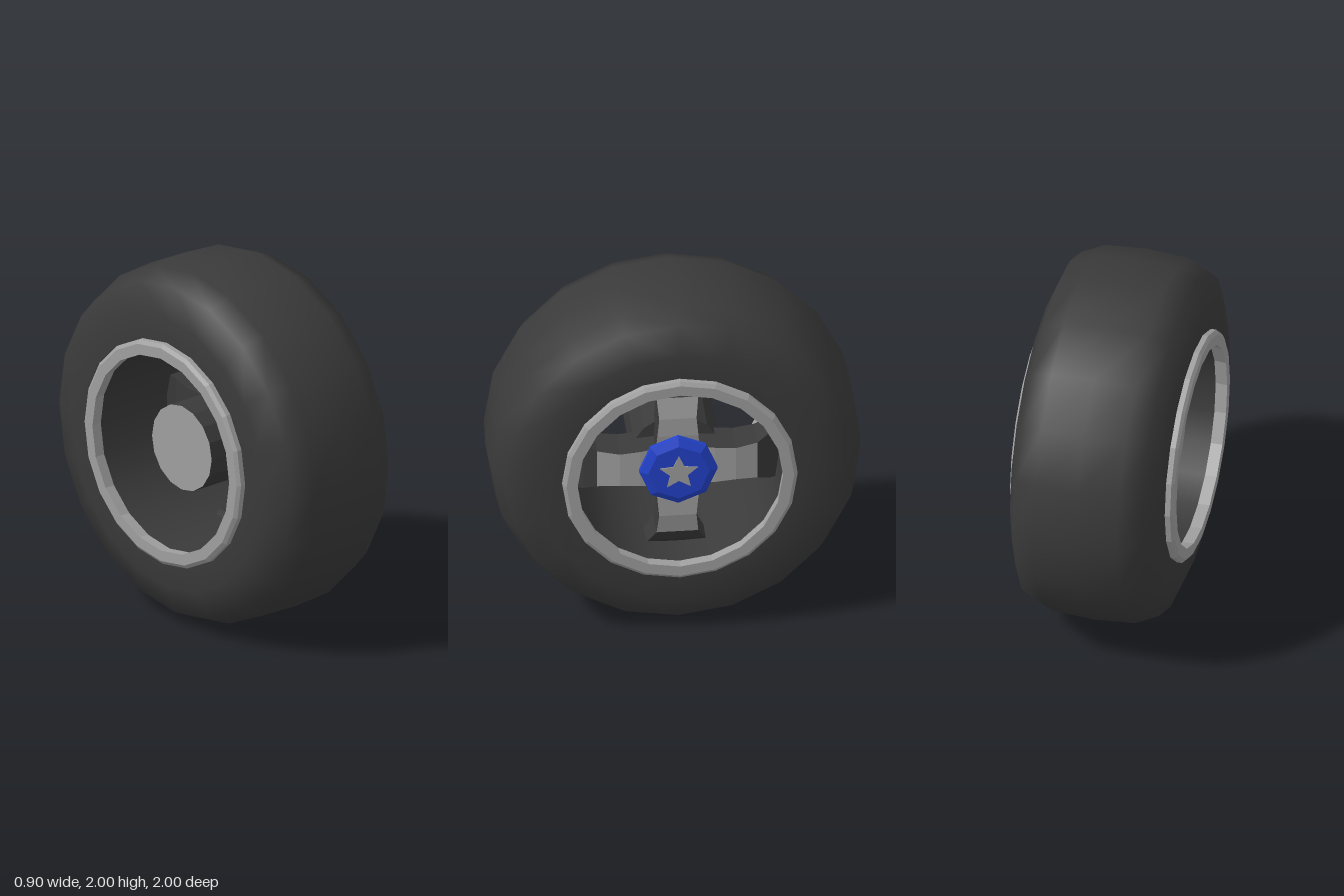
import * as THREE from 'three';

export function createModel() {
  const rubber = new THREE.MeshStandardMaterial({ color: 0x3a3a3a });
  const metal = new THREE.MeshStandardMaterial({ color: 0xa0a0a0 });
  const blue = new THREE.MeshStandardMaterial({ color: 0x2343cc });
  rubber.name = 'dark rubber';
  metal.name = 'grey metal';
  blue.name = 'blue paint';

  const model = new THREE.Group();
  model.name = 'wheel';
  const wheel = new THREE.Group();
  wheel.name = 'wheelParts';
  wheel.position.y = 1;
  model.add(wheel);

  const add = (name, geometry, material) => {
    const mesh = new THREE.Mesh(geometry, material);
    mesh.name = name;
    wheel.add(mesh);
    return mesh;
  };
  // Turns [radius, x] pairs around the axle (the x axis)
  const turn = (profile, sides, smooth = false) => {
    let g = new THREE.LatheGeometry(profile.map(([r, x]) => new THREE.Vector2(r, x)), sides);
    g.rotateZ(-Math.PI / 2);
    if (!smooth) {
      g = g.toNonIndexed();
      g.computeVertexNormals();
    }
    return g;
  };

  // Tyre
  const half = [[0.985, 0.23], [0.93, 0.35], [0.77, 0.41], [0.6, 0.405]];
  const mirror = (p) => p.map(([r, x]) => [r, -x]).reverse();
  add('tyre', turn([...mirror(half), [1, 0], ...half], 20, true), rubber);

  // Rim lips on both sides, with the dark barrel between them
  const lip = [[0.63, 0.38], [0.63, 0.435], [0.61, 0.45], [0.55, 0.45], [0.556, 0.385]];
  add('leftRimLip', turn(lip, 20), metal);
  add('rightRimLip', turn(mirror(lip), 20), metal);
  add('barrel', turn([[0.556, 0.385], [0.556, -0.385]], 20, true), rubber);

  // Hub drum with a grey back plate
  add('hubDrum', turn([[0.24, -0.3], [0.24, 0.18], [0, 0.18]], 16), rubber);
  add('hubBackPlate', turn([[0, -0.3], [0.24, -0.3]], 16), metal);

  // Spokes: stations of radius, half width, front x and back x
  const stations = [
    [0.08, 0.12, 0.3, 0.12], [0.2, 0.11, 0.315, 0.12], [0.31, 0.1, 0.315, 0.12],
    [0.43, 0.112, 0.29, 0.11], [0.5, 0.145, 0.25, 0.1], [0.55, 0.168, 0.2, 0.08],
  ];
  const spokeGeometry = () => {
    const front = [], body = [];
    const quad = (list, a, b, c, d) => list.push(...a, ...b, ...c, ...a, ...c, ...d);
    for (let i = 0; i < stations.length - 1; i++) {
      const [p, q] = [stations[i], stations[i + 1]].map(([r, w, f, b]) => ({
        fl: [f, r, w], fr: [f, r, -w], bl: [b, r, w], br: [b, r, -w],
      }));
      quad(i < 3 ? front : body, p.fr, q.fr, q.fl, p.fl);
      quad(body, p.bl, q.bl, q.br, p.br);
      quad(body, p.fl, q.fl, q.bl, p.bl);
      quad(body, p.br, q.br, q.fr, p.fr);
    }
    const g = new THREE.BufferGeometry();
    g.setAttribute('position', new THREE.Float32BufferAttribute([...front, ...body], 3));
    g.addGroup(0, front.length / 3, 0);
    g.addGroup(front.length / 3, body.length / 3, 1);
    g.computeVertexNormals();
    return g;
  };
  const spoke = spokeGeometry();
  for (let i = 0; i < 4; i++) {
    add('spoke' + (i + 1), spoke, [metal, rubber]).rotation.x = (i * Math.PI) / 2;
  }

  // Centre cap on its short shaft
  add('centreCap', turn([[0.14, 0.17], [0.14, 0.315], [0.21, 0.32], [0.21, 0.345], [0.165, 0.37], [0, 0.37]], 8), blue);

  // Star plate on the cap
  const star = new THREE.Shape();
  for (let i = 0; i < 10; i++) {
    const r = i % 2 ? 0.05 : 0.108;
    const a = (i * Math.PI) / 5;
    star[i ? 'lineTo' : 'moveTo'](-Math.sin(a) * r, Math.cos(a) * r);
  }
  const plate = new THREE.ExtrudeGeometry(star, { depth: 0.006, bevelEnabled: false });
  plate.rotateY(Math.PI / 2).translate(0.369, 0, 0);
  add('starPlate', plate, metal);

  return model;
}
